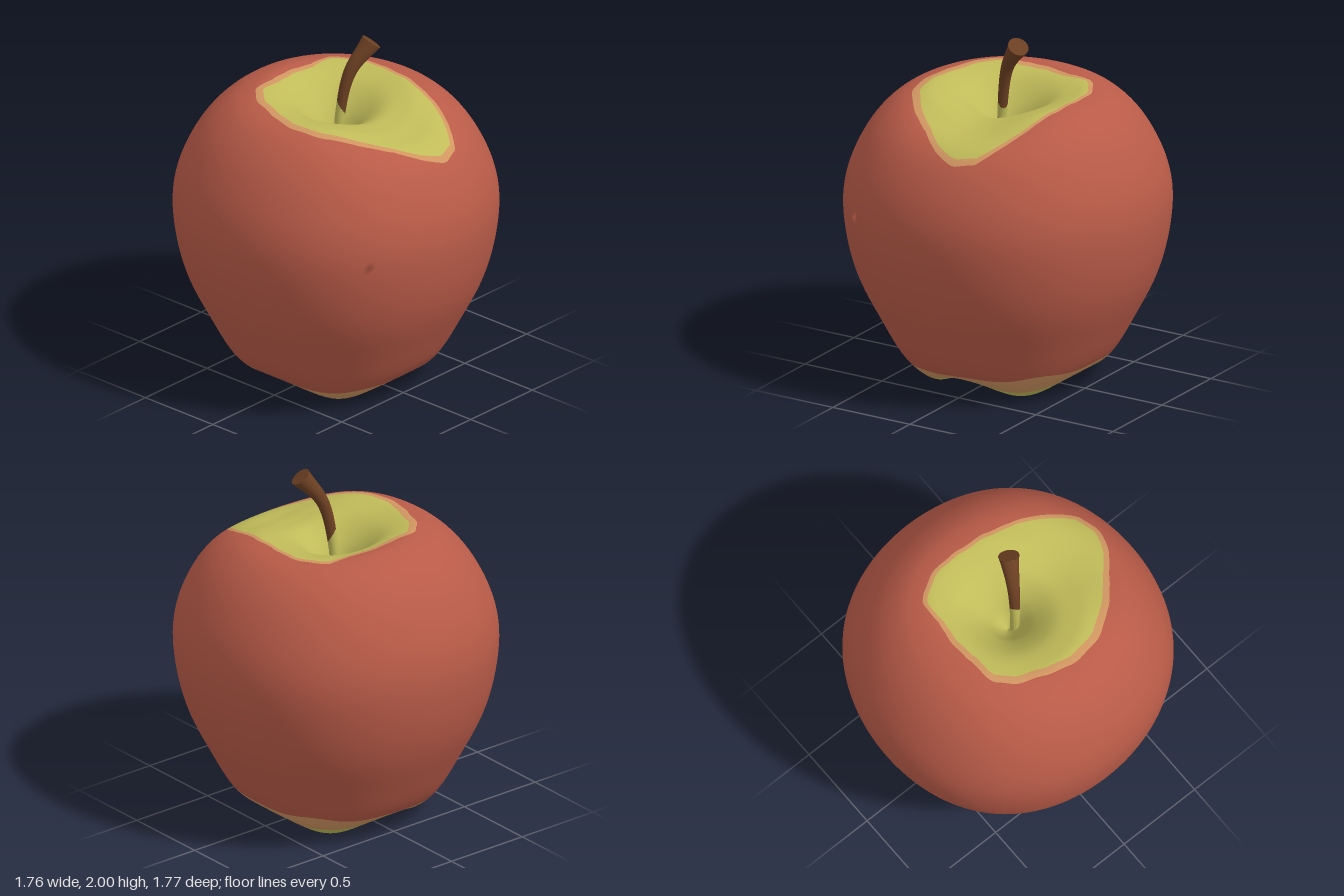
import * as THREE from 'three';

const mat = (name, color) => Object.assign(new THREE.MeshStandardMaterial({ color }), { name });
const V = (x, y, z) => new THREE.Vector3(x, y, z);

// Half cross-section [radius, height] from the stem hollow, over the shoulder, to the base hollow
const profile = new THREE.SplineCurve([
  [0, 1.31], [0.06, 1.38], [0.14, 1.5], [0.25, 1.6], [0.36, 1.642], [0.45, 1.65], [0.57, 1.613],
  [0.685, 1.515], [0.78, 1.375], [0.853, 1.2], [0.88, 1.02], [0.858, 0.8], [0.8, 0.59], [0.7, 0.38],
  [0.575, 0.16], [0.45, 0.057], [0.34, 0.042], [0.22, 0.075], [0.1, 0.14], [0, 0.17],
].map(([r, y]) => new THREE.Vector2(r, y)));
const WIDEST = 10 / 19; // profile parameter at the largest radius
const bump = (r, centre, width) => Math.exp(-(((r - centre) / width) ** 2));

// Point on the skin; angle 0 is the front, growing towards +x
function skinPoint(s, a) {
  const { x: r, y: h } = profile.getPoint(s);
  let y = h;
  if (s < WIDEST) {
    const front = Math.max(0, Math.cos(a - 0.1)) ** 4;
    const back = Math.max(0, -Math.cos(a - 0.3)) ** 2;
    y += 0.027 * back * bump(r, 0.34, 0.18) - 0.1 * front * bump(r, 0.47, 0.22); // uneven rim
  } else {
    y += 0.042 * Math.cos(4 * a) * bump(r, 0.37, 0.17); // four feet on the diagonals
  }
  const w = r * (1 + 0.011 * (1 - Math.cos(4 * a)) - 0.007 * Math.sin(2 * a)); // squarish girth
  return V(w * Math.sin(a), y, w * Math.cos(a) * 1.005);
}

// Profile parameter where the skin reaches a radius, on the upper or the lower half
function paramAt(radius, upper) {
  let inner = upper ? 0 : 1, outer = WIDEST;
  for (let i = 0; i < 30; i++) {
    const mid = (inner + outer) / 2;
    if (profile.getPoint(mid).x < radius) inner = mid; else outer = mid;
  }
  return inner;
}

// Outline of the top patch as [x, z]
const patch = [
  [0.1, 0.72], [0.22, 0.68], [0.29, 0.57], [0.38, 0.33], [0.41, 0.2], [0.43, 0.03], [0.41, -0.2],
  [0.31, -0.33], [0.17, -0.335], [0.03, -0.365], [-0.12, -0.35], [-0.28, -0.33], [-0.36, -0.25],
  [-0.42, -0.11], [-0.47, 0.1], [-0.42, 0.29], [-0.33, 0.41], [-0.16, 0.57], [-0.04, 0.68],
].map(([x, z]) => [(Math.atan2(x, z) + Math.PI * 2) % (Math.PI * 2), Math.hypot(x, z)])
  .sort((p, q) => p[0] - q[0]);

function patchRadius(a) {
  const n = patch.length, full = Math.PI * 2;
  const t = ((a % full) + full) % full;
  let k = patch.findIndex((p) => p[0] > t);
  if (k < 0) k = n;
  const p = patch[(k + n - 1) % n], q = patch[k % n];
  const span = (q[0] - p[0] + full) % full;
  const f = ((t - p[0] + full) % full) / span;
  return p[1] + (q[1] - p[1]) * f + 0.003 * Math.sin(17 * a);
}

// Limits between the colour bands, each a function of the angle
const baseRadius = (a) => 0.55 + 0.035 * Math.sin(a) - 0.01 * Math.cos(4 * a) + 0.005 * Math.sin(9 * a);
const limits = [
  () => 0.0005,
  (a) => paramAt(patchRadius(a) - 0.034 + 0.011 * Math.sin(a), true),
  (a) => paramAt(patchRadius(a), true),
  (a) => paramAt(baseRadius(a), false),
  (a) => paramAt(baseRadius(a) - 0.085 + 0.012 * Math.sin(5 * a + 1), false),
  () => 0.9995,
];

// Strip of skin between two limits, with exact smooth normals
function skinBand(from, to, rows, cols = 160) {
  const pos = [], nor = [], idx = [], e = 1e-4;
  for (let j = 0; j <= cols; j++) {
    const a = (j / cols) * Math.PI * 2, s0 = from(a), s1 = to(a);
    for (let i = 0; i <= rows; i++) {
      const s = s0 + ((s1 - s0) * i) / rows;
      const ds = skinPoint(s + e, a).sub(skinPoint(s - e, a));
      const da = skinPoint(s, a + e).sub(skinPoint(s, a - e));
      pos.push(...skinPoint(s, a).toArray());
      nor.push(...ds.normalize().cross(da.normalize()).normalize().toArray());
      if (i < rows && j < cols) {
        const p = j * (rows + 1) + i, q = p + rows + 1;
        idx.push(p, p + 1, q, q, p + 1, q + 1);
      }
    }
  }
  const g = new THREE.BufferGeometry();
  g.setAttribute('position', new THREE.Float32BufferAttribute(pos, 3));
  g.setAttribute('normal', new THREE.Float32BufferAttribute(nor, 3));
  g.setIndex(idx);
  return g;
}

export function createModel() {
  const model = new THREE.Group();
  model.name = 'apple';
  const red = mat('red skin', 0xb95b48);
  const green = mat('yellow green', 0xc0bb59);
  const tan = mat('blush edge', 0xcf9560);
  const brown = mat('stem brown', 0x6b3f22);
  const add = (name, geometry, material) => {
    const mesh = new THREE.Mesh(geometry, material);
    mesh.name = name;
    model.add(mesh);
    return mesh;
  };

  // Skin, from the stem hollow down to the base
  [
    ['stemHollow', green, 28], ['topPatchEdge', tan, 3], ['body', red, 44],
    ['basePatchEdge', tan, 6], ['baseHollow', green, 24],
  ].forEach(([name, material, rows], k) => add(name, skinBand(limits[k], limits[k + 1], rows), material));

  // Curved stem, flaring to the tip
  const path = new THREE.CatmullRomCurve3([
    V(-0.02, 1.28, 0.03), V(-0.01, 1.55, 0.04), V(0.04, 1.8, 0.07), V(0.148, 1.96, 0.127),
  ]);
  const steps = 80, sides = 20, tip = 0.059;
  const stem = new THREE.TubeGeometry(path, steps, 1, sides);
  const p = stem.attributes.position;
  const vertex = (k) => V(0, 0, 0).fromBufferAttribute(p, k);
  for (let i = 0; i <= steps; i++) {
    const t = i / steps, c = path.getPointAt(t);
    const r = 0.024 + 0.009 * t + (tip - 0.033) * t ** 5;
    for (let j = 0; j <= sides; j++) {
      const k = i * (sides + 1) + j;
      const v = vertex(k).sub(c).multiplyScalar(r).add(c);
      p.setXYZ(k, v.x, v.y, v.z);
    }
  }
  // Green root of the stem, reaching higher at the back
  const root = [], shaft = [];
  for (let i = 0; i < stem.index.count; i += 3) {
    const tri = [0, 1, 2].map((k) => stem.index.getX(i + k));
    const c = tri.reduce((sum, k) => sum.add(vertex(k)), V(0, 0, 0)).divideScalar(3);
    (c.y + 1.2 * (c.x + c.z - 0.035) < 1.595 ? root : shaft).push(...tri);
  }
  stem.setIndex([...root, ...shaft]);
  stem.addGroup(0, root.length, 0);
  stem.addGroup(root.length, shaft.length, 1);
  add('stem', stem, [green, brown]);

  // Cut end of the stem
  const cap = add('stemTip', new THREE.CircleGeometry(tip, sides), brown);
  cap.position.copy(path.getPointAt(1));
  cap.quaternion.setFromUnitVectors(V(0, 0, 1), path.getTangentAt(1));
  return model;
}
